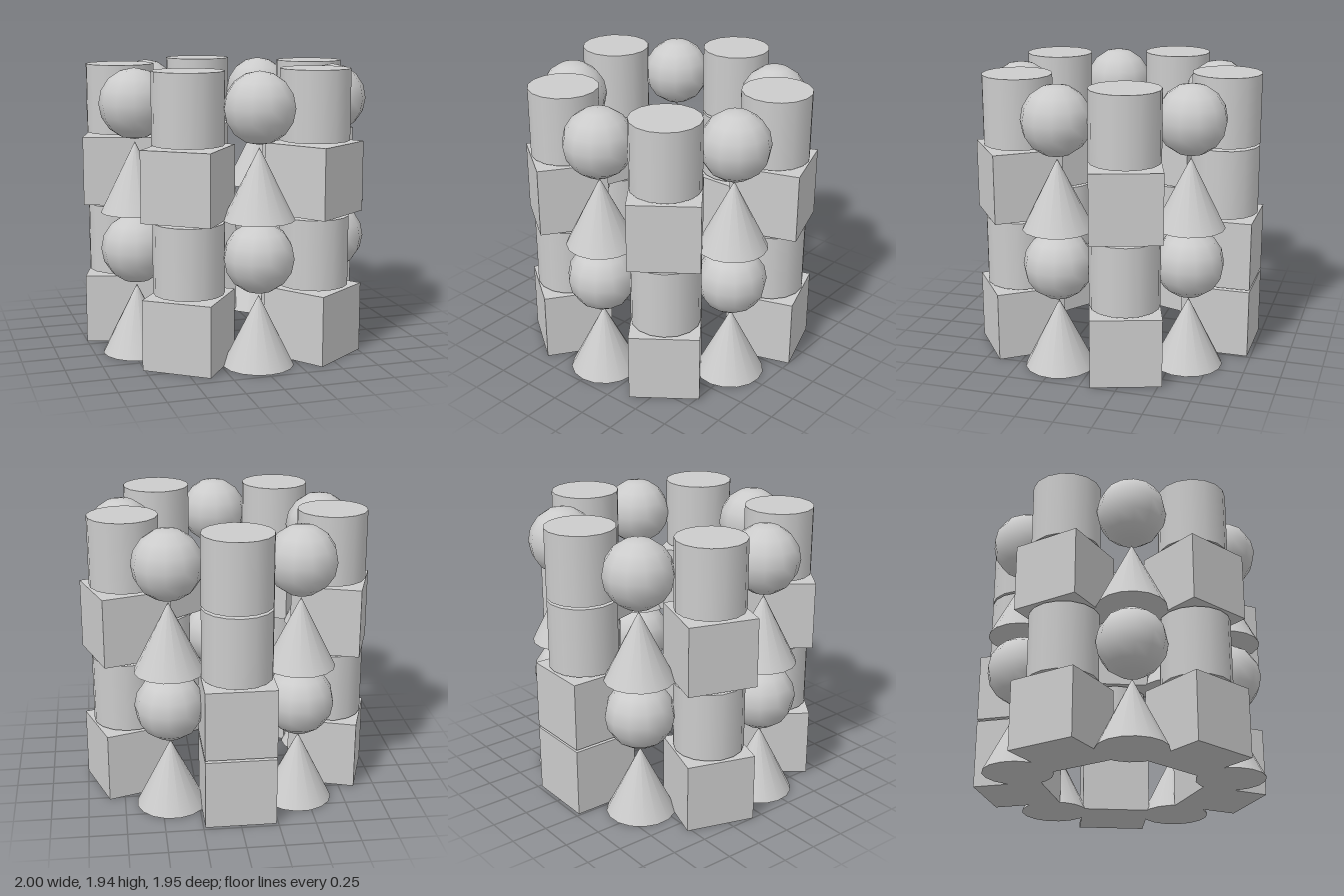
import * as THREE from 'three';

const SIZE = 0.473;   // height and width of every block
const PITCH = 0.489;  // distance between tiers
const RING = 0.739;   // radius of the ring of blocks
const COUNT = 10;     // blocks per tier

export function createModel() {
  const group = new THREE.Group();
  group.name = 'blockTower';
  const material = new THREE.MeshStandardMaterial({ color: 0xcccccc });
  const r = SIZE / 2;
  const shapes = {
    cube: new THREE.BoxGeometry(SIZE, SIZE, SIZE),
    cylinder: new THREE.CylinderGeometry(r, r, SIZE, 16),
    cone: new THREE.ConeGeometry(r, SIZE, 16),
    sphere: new THREE.SphereGeometry(r, 12, 8),
  };

  // Column patterns, from the bottom tier upwards
  const roundColumn = ['cone', 'sphere', 'cone', 'sphere'];
  const squareColumn = ['cube', 'cylinder', 'cube', 'cylinder'];
  const backColumn = ['cube', 'cube', 'cylinder', 'cylinder'];

  for (let i = 0; i < COUNT; i++) {
    const angle = (i / COUNT) * Math.PI * 2;
    const column = i === COUNT / 2 ? backColumn : i % 2 ? squareColumn : roundColumn;
    column.forEach((shape, tier) => {
      const block = new THREE.Mesh(shapes[shape], material);
      block.name = `${shape}Tier${tier + 1}Column${i + 1}`;
      block.position.set(RING * Math.sin(angle), r + tier * PITCH, RING * Math.cos(angle));
      block.rotation.y = angle; // each block faces outwards
      group.add(block);
    });
  }
  return group;
}
